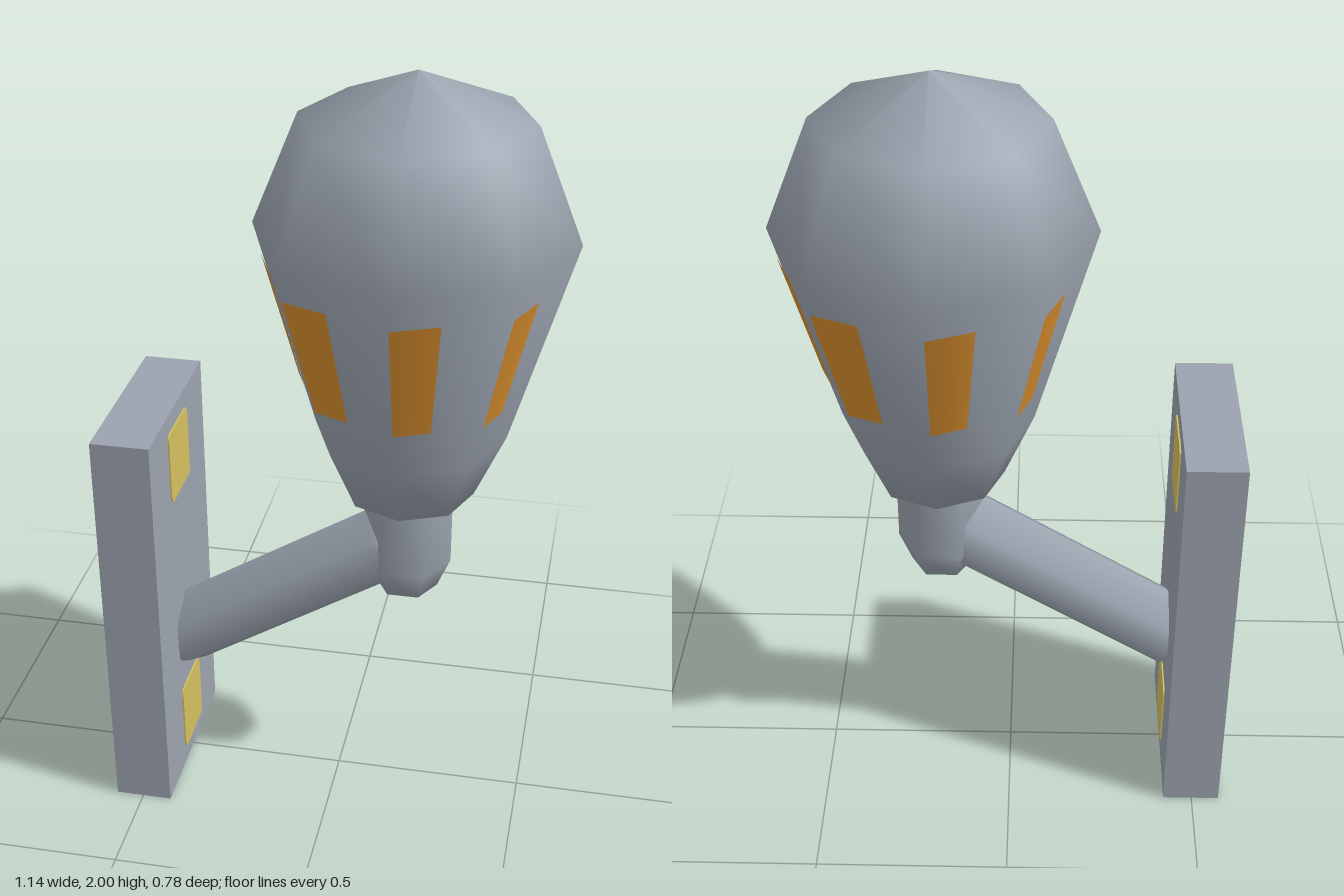
import * as THREE from 'three';

const metal = new THREE.MeshStandardMaterial({ color: 0x9ba3af });
metal.name = 'grey metal';
const amber = new THREE.MeshStandardMaterial({ color: 0xd98f2e });
amber.name = 'amber window';
const brass = new THREE.MeshStandardMaterial({ color: 0xd6c060 });
brass.name = 'yellow pad';

const BULB_X = 0.18;

function add(parent, name, geometry, material, x = 0, y = 0, z = 0) {
  const mesh = new THREE.Mesh(geometry, material);
  mesh.name = name;
  mesh.position.set(x, y, z);
  parent.add(mesh);
  return mesh;
}

// Smooth surface of revolution from [radius, height] pairs, bottom to top
function lathe(profile, sides, start = 0) {
  return new THREE.LatheGeometry(profile.map(([r, y]) => new THREE.Vector2(r, y)), sides, start);
}

// Six-sided rod with domed ends, from y = 0 to y = length between the domes
function rod(radius, length) {
  const k = radius * Math.SQRT1_2;
  return lathe([
    [0, -radius], [k, -k], [radius, 0],
    [radius, length], [k, length + k], [0, length + radius],
  ], 6, Math.PI / 2);
}

// Rounded square pad facing +x
function padGeometry(w, h, r) {
  const s = new THREE.Shape();
  const a = w / 2, b = h / 2;
  s.moveTo(-a + r, -b);
  s.lineTo(a - r, -b).quadraticCurveTo(a, -b, a, -b + r);
  s.lineTo(a, b - r).quadraticCurveTo(a, b, a - r, b);
  s.lineTo(-a + r, b).quadraticCurveTo(-a, b, -a, b - r);
  s.lineTo(-a, -b + r).quadraticCurveTo(-a, -b, -a + r, -b);
  const g = new THREE.ExtrudeGeometry(s, { depth: 0.004, bevelEnabled: false, curveSegments: 4 });
  return g.rotateY(Math.PI / 2);
}

// Thin window lying on one flat side of the bulb, starting at the side's edge
function windowGeometry() {
  const step = Math.PI / 4, share = 0.42, lift = 0.004;
  const pos = [], nor = [];
  for (const [r, y] of [[0.278, 1.22], [0.367, 1.53]]) {
    for (const t of [0, share]) {
      const R = r + lift;
      pos.push(R * Math.sin(step) * t, y, R * (1 - t + t * Math.cos(step)));
      const n = new THREE.Vector3(Math.sin(step * t), -0.25, Math.cos(step * t)).normalize();
      nor.push(n.x, n.y, n.z);
    }
  }
  const g = new THREE.BufferGeometry();
  g.setAttribute('position', new THREE.Float32BufferAttribute(pos, 3));
  g.setAttribute('normal', new THREE.Float32BufferAttribute(nor, 3));
  g.setIndex([0, 1, 3, 0, 3, 2]);
  return g;
}

export function createModel() {
  const model = new THREE.Group();
  model.name = 'wallLamp';

  // Wall plate with two pads on its outer face
  add(model, 'wallPlate', new THREE.BoxGeometry(0.15, 1.1, 0.486), metal, -0.498, 0.55, 0);
  const pad = padGeometry(0.17, 0.2, 0.02);
  add(model, 'lowerPad', pad, brass, -0.423, 0.15, 0);
  add(model, 'upperPad', pad, brass, -0.423, 0.95, 0);

  // Sloping arm from the plate to the post
  const dx = 0.55, dy = 0.345;
  const arm = add(model, 'arm', rod(0.105, Math.hypot(dx, dy)), metal, -0.425, 0.405, 0);
  arm.rotation.z = -Math.atan2(dx, dy);

  // Upright post under the bulb
  add(model, 'post', rod(0.113, 0.24), metal, BULB_X, 0.713, 0);

  // Eight-sided bulb
  add(model, 'bulb', lathe([
    [0, 0.885], [0.165, 0.92], [0.24, 1.09], [0.39, 1.61], [0.277, 1.887], [0, 2],
  ], 8), metal, BULB_X);

  // Windows, one on each side of the bulb
  const pane = windowGeometry();
  for (let i = 0; i < 8; i++) {
    add(model, 'window', pane, amber, BULB_X).rotation.y = i * Math.PI / 4;
  }
  return model;
}
